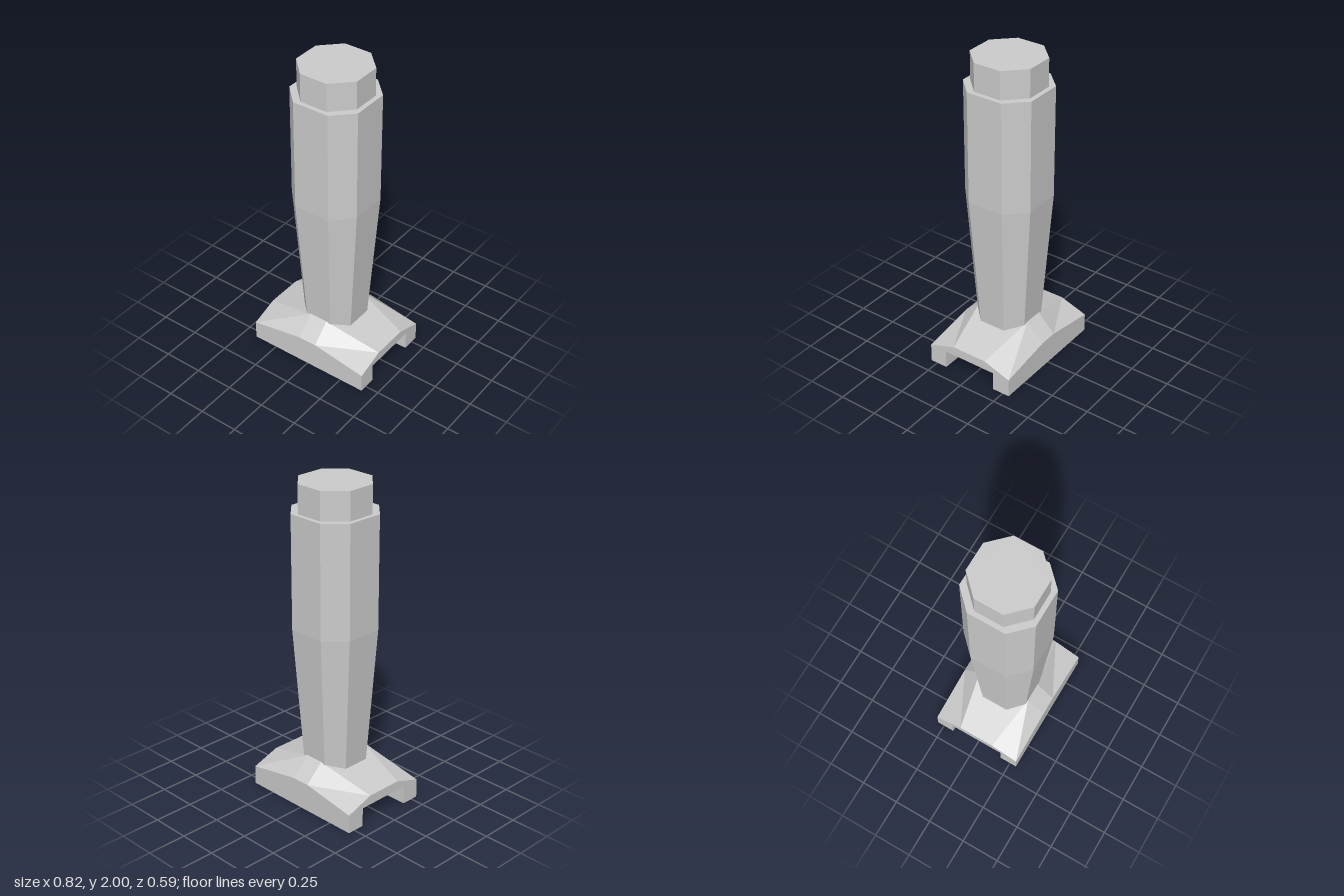
import * as THREE from 'three';

// Lofts closed rings of points into a solid; capTris lists the triangles of the start cap.
function loft(name, rings, capTris, material) {
  const n = rings[0].length, last = rings.length - 1;
  const index = [];
  for (let i = 0; i < last; i++) {
    for (let j = 0; j < n; j++) {
      const k = (j + 1) % n;
      const a = i * n + j, b = a + n, c = (i + 1) * n + k, d = i * n + k;
      index.push(a, b, c, a, c, d);
    }
  }
  for (const [a, b, c] of capTris) {
    index.push(a, b, c, last * n + a, last * n + c, last * n + b);
  }
  const indexed = new THREE.BufferGeometry();
  indexed.setAttribute('position', new THREE.Float32BufferAttribute(rings.flat(2), 3));
  indexed.setIndex(index);
  const geometry = indexed.toNonIndexed();
  geometry.computeVertexNormals();
  const mesh = new THREE.Mesh(geometry, material);
  mesh.name = name;
  return mesh;
}

// Chamfered square at height y: half width a, half length of the flat sides b.
const octagon = ([y, a, b]) => [
  [a, y, -b], [a, y, b], [b, y, a], [-b, y, a],
  [-a, y, b], [-a, y, -b], [-b, y, -a], [b, y, -a],
];
const octagonCap = [1, 2, 3, 4, 5, 6].map((k) => [0, k, k + 1]);

// Saddle cross-section at x: edge height, ridge height and ridge half width.
const saddle = ([x, edgeY, ridgeY, ridgeZ]) => [
  [x, 0, 0.18], [x, 0, 0.295], [x, edgeY, 0.295], [x, ridgeY, ridgeZ],
  [x, ridgeY, -ridgeZ], [x, edgeY, -0.295], [x, 0, -0.295], [x, 0, -0.18],
  [x, 0.12, -0.18], [x, 0.12, 0.18],
];
const saddleCap = [
  [0, 1, 2], [0, 2, 9], [9, 2, 3], [9, 3, 4],
  [9, 4, 8], [8, 4, 5], [8, 5, 6], [8, 6, 7],
];

export function createModel() {
  const group = new THREE.Group();
  group.name = 'handle';
  const material = new THREE.MeshStandardMaterial({ color: 0xcccccc, flatShading: true });

  // Base with a channel running along x underneath
  group.add(loft('saddleBase', [
    [-0.41, 0.12, 0.18, 0.118],
    [-0.06, 0.18, 0.292, 0.18],
    [0.06, 0.18, 0.292, 0.18],
    [0.41, 0.12, 0.18, 0.118],
  ].map(saddle), saddleCap, material));

  // Grip, tapering into the base
  group.add(loft('grip', [
    [0.2, 0.173, 0.086],
    [1.12, 0.235, 0.118],
    [1.825, 0.235, 0.118],
  ].map(octagon), octagonCap, material));

  // Narrower end piece
  group.add(loft('endCap', [
    [1.8, 0.206, 0.089],
    [2, 0.206, 0.089],
  ].map(octagon), octagonCap, material));

  return group;
}
